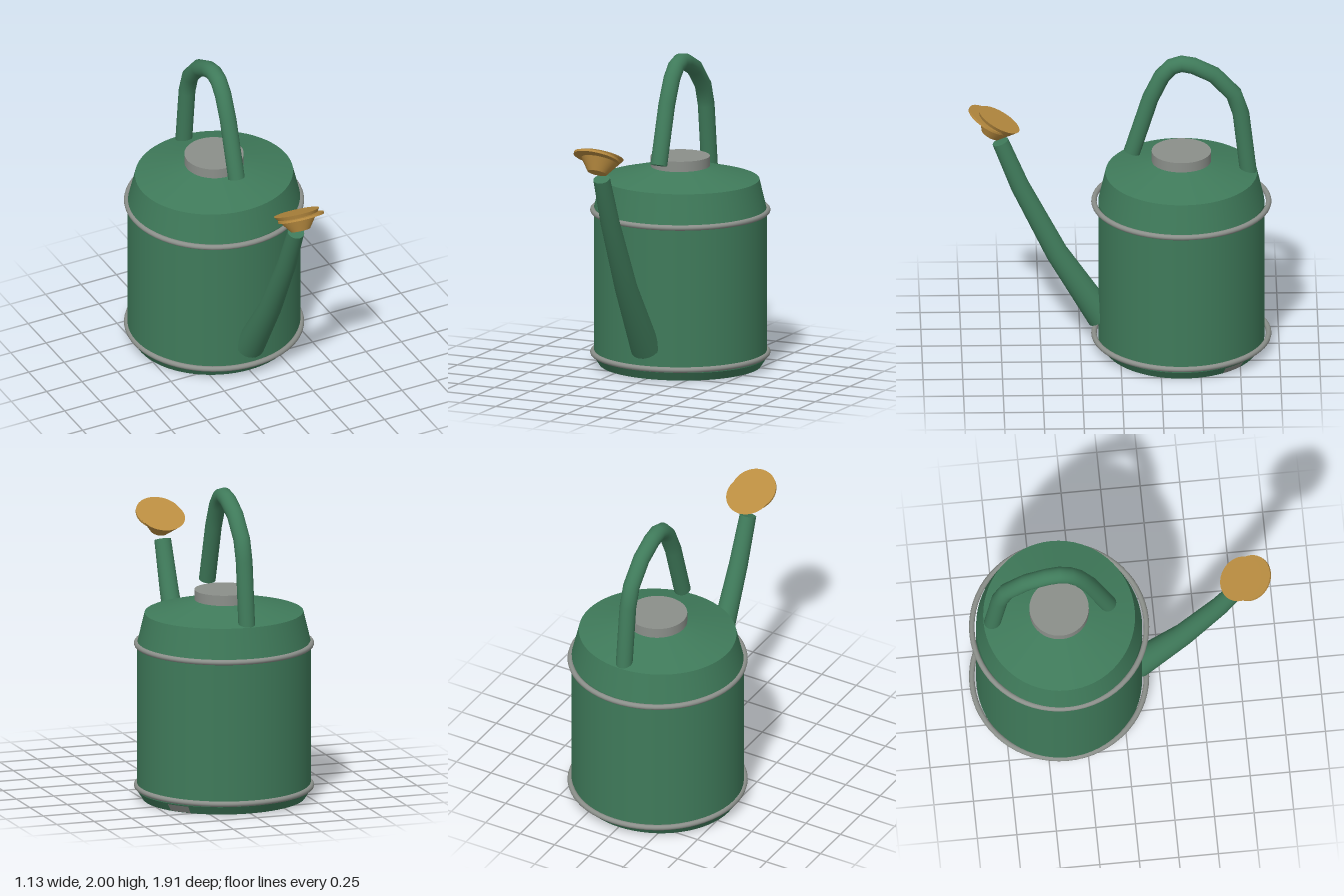
import * as THREE from 'three';

const CZ = -0.385;   // centre of the can
const DEPTH = 0.95;  // the can is slightly oval

function material(name, color, side = THREE.FrontSide) {
  const m = new THREE.MeshStandardMaterial({ color, side });
  m.name = name;
  return m;
}

function addMesh(parent, name, geometry, mat) {
  const mesh = new THREE.Mesh(geometry, mat);
  mesh.name = name;
  parent.add(mesh);
  return mesh;
}

// Round pipe through [z, y, radius] stations in the x = 0 plane, with flat ends
function pipe(stations, sides = 24) {
  const pos = [], index = [];
  const n = stations.length;
  const centres = stations.map(([z, y]) => new THREE.Vector3(0, y, z));
  const side = new THREE.Vector3(1, 0, 0);
  const ring = (i) => {
    const prev = centres[Math.max(i - 1, 0)], next = centres[Math.min(i + 1, n - 1)];
    const c = centres[i], t = new THREE.Vector3();
    if (i > 0) t.add(c.clone().sub(prev).normalize());
    if (i < n - 1) t.add(next.clone().sub(c).normalize());
    const b = t.normalize().cross(side);
    for (let j = 0; j < sides; j++) {
      const a = (j / sides) * Math.PI * 2, r = stations[i][2];
      pos.push(Math.cos(a) * r, c.y + b.y * Math.sin(a) * r, c.z + b.z * Math.sin(a) * r);
    }
  };
  for (let i = 0; i < n; i++) ring(i);
  for (let i = 0; i < n - 1; i++) {
    for (let j = 0; j < sides; j++) {
      const k = (j + 1) % sides;
      const a = i * sides + j, b = i * sides + k;
      index.push(a, b, a + sides, b, b + sides, a + sides);
    }
  }
  for (const i of [0, n - 1]) {
    const start = pos.length / 3;
    ring(i);
    pos.push(0, centres[i].y, centres[i].z);
    for (let j = 0; j < sides; j++) {
      const a = start + j, b = start + ((j + 1) % sides);
      if (i === 0) index.push(start + sides, b, a);
      else index.push(start + sides, a, b);
    }
  }
  const g = new THREE.BufferGeometry();
  g.setAttribute('position', new THREE.Float32BufferAttribute(pos, 3));
  g.setIndex(index);
  g.computeVertexNormals();
  return g;
}

export function createModel() {
  const green = material('green enamel', 0x3f7a5a);
  const steel = material('grey steel', 0x8b8f8a);
  const brass = material('brass', 0xb98c40);
  const steelPatch = material('grey patch', 0x8b8f8a, THREE.DoubleSide);

  const model = new THREE.Group();
  model.name = 'wateringCan';

  // Can: one lathe per band keeps the edges between bands sharp
  const can = new THREE.Group();
  can.name = 'can';
  can.position.z = CZ;
  can.scale.z = DEPTH;
  model.add(can);
  const profile = [[0, 0], [0.515, 0], [0.55, 0.055], [0.55, 1], [0.503, 1.197], [0.18, 1.28], [0, 1.28]];
  const bands = ['base', 'lowerBevel', 'wall', 'shoulder', 'lid', 'lidTop'];
  bands.forEach((name, i) => {
    const pts = [profile[i], profile[i + 1]].map(([r, y]) => new THREE.Vector2(r, y));
    addMesh(can, name, new THREE.LatheGeometry(pts, 64), green);
  });

  // Small plate on the lower bevel
  const platePts = [new THREE.Vector2(0.52, 0.003), new THREE.Vector2(0.552, 0.05)];
  addMesh(can, 'bevelPlate', new THREE.LatheGeometry(platePts, 6, 2.11, 0.28), steelPatch);

  // Hoops
  for (const [name, y] of [['lowerHoop', 0.08], ['upperHoop', 0.995]]) {
    const hoop = addMesh(model, name, new THREE.TorusGeometry(0.55, 0.0175, 12, 64), steel);
    hoop.rotation.x = Math.PI / 2;
    hoop.position.set(0, y, CZ);
  }

  // Filler cap
  const cap = addMesh(model, 'fillerCap', new THREE.CylinderGeometry(0.187, 0.187, 0.085, 48), steel);
  cap.position.set(0, 1.3, CZ);

  // Arched handle
  const arch = [[-0.074, 1.339], [-0.19, 1.71], [-0.262, 1.86], [-0.323, 1.926], [-0.386, 1.946],
    [-0.46, 1.932], [-0.59, 1.868], [-0.715, 1.735], [-0.76, 1.6], [-0.81, 1.17]];
  addMesh(model, 'handle', pipe(arch.map(([z, y]) => [z, y, 0.053])), green);

  // Tapered spout
  addMesh(model, 'spout', pipe([[0.117, 0.197, 0.093], [0.4, 0.645, 0.071],
    [0.632, 1.111, 0.06], [0.754, 1.415, 0.053]]), green);

  // Sprinkler head: a tilted cup with a disc slipped through it
  const tilt = -0.495;
  const cup = addMesh(model, 'sprinklerCup', new THREE.CylinderGeometry(0.146, 0.062, 0.116, 48), brass);
  cup.position.set(0, 1.517, 0.79);
  cup.rotation.x = tilt;
  const disc = addMesh(model, 'sprinklerDisc', new THREE.CylinderGeometry(0.148, 0.148, 0.014, 48), brass);
  disc.position.set(0, 1.566, 0.823);
  disc.rotation.x = tilt - 0.03;

  return model;
}
